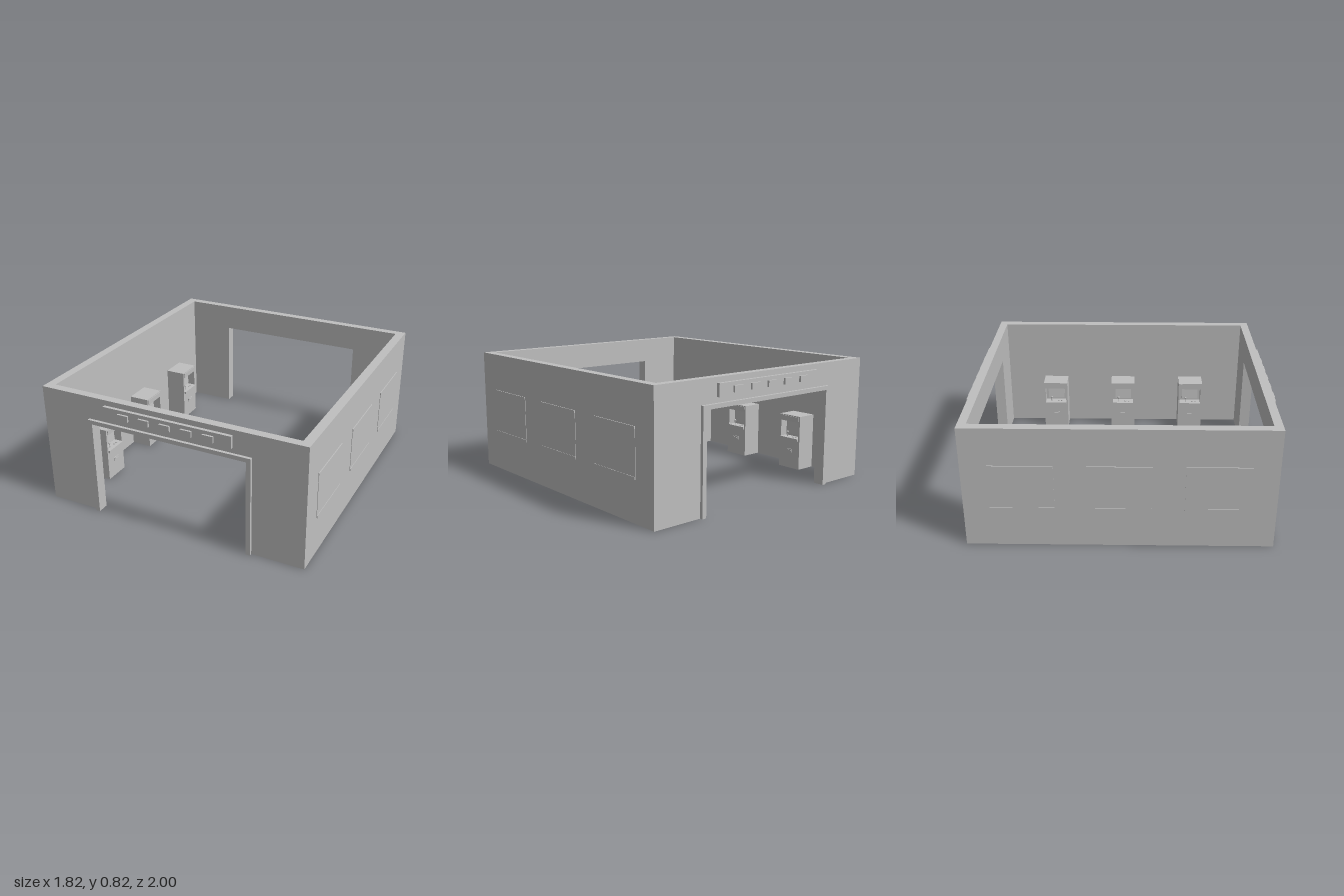
import * as THREE from 'three';

const plaster = new THREE.MeshStandardMaterial({ color: 0xbfbfbf });
plaster.name = 'plain grey';

// Box given by its minimum and maximum on each axis
function box(parent, name, x0, x1, y0, y1, z0, z1) {
  const mesh = new THREE.Mesh(new THREE.BoxGeometry(x1 - x0, y1 - y0, z1 - z0), plaster);
  mesh.name = name;
  mesh.position.set((x0 + x1) / 2, (y0 + y1) / 2, (z0 + z1) / 2);
  parent.add(mesh);
  return mesh;
}

// Upright arch outline (two legs and a lintel), extruded from z0 to z1
function arch(parent, name, outerX, outerY, innerX, innerY, z0, z1) {
  const shape = new THREE.Shape([
    [-outerX, 0], [-innerX, 0], [-innerX, innerY], [innerX, innerY],
    [innerX, 0], [outerX, 0], [outerX, outerY], [-outerX, outerY],
  ].map(([x, y]) => new THREE.Vector2(x, y)));
  const geometry = new THREE.ExtrudeGeometry(shape, { depth: z1 - z0, bevelEnabled: false });
  const mesh = new THREE.Mesh(geometry, plaster);
  mesh.name = name;
  mesh.position.z = z0;
  parent.add(mesh);
}

// End wall with doorway, door frame and sign, facing +z
function endWall() {
  const g = new THREE.Group();
  arch(g, 'endWall', 0.905, 0.822, 0.53, 0.643, 0.91, 0.965);
  arch(g, 'doorFrame', 0.56, 0.67, 0.53, 0.643, 0.965, 0.985);
  box(g, 'signBoard', -0.437, 0.437, 0.705, 0.787, 0.965, 0.987);
  for (let i = -2; i <= 2; i++) {
    const x = i * 0.145;
    box(g, 'signBlock', x - 0.036, x + 0.036, 0.724, 0.764, 0.987, 1);
  }
  return g;
}

// Side wall with three thin framed panels, facing +x
function sideWall() {
  const g = new THREE.Group();
  box(g, 'sideWall', 0.845, 0.905, 0, 0.822, -0.91, 0.91);
  for (const z of [-0.6, 0, 0.6]) {
    box(g, 'wallPanel', 0.905, 0.908, 0.272, 0.562, z - 0.2, z + 0.2);
    for (const y of [0.27, 0.563]) {
      box(g, 'panelRail', 0.905, 0.911, y - 0.008, y + 0.008, z - 0.2, z + 0.2);
    }
  }
  return g;
}

// Game cabinet: back at x = 0, front facing +x
function cabinet() {
  const g = new THREE.Group();
  g.name = 'cabinet';
  const w = 0.0925, d = 0.145, top = 0.385;
  box(g, 'cabinetBase', 0, d, 0, 0.21, -w, w);
  box(g, 'cabinetBack', 0, 0.085, 0.21, top, -w + 0.012, w - 0.012);
  for (const s of [-1, 1]) {
    const z = s * (w - 0.006);
    box(g, 'cabinetSide', 0, d, 0.21, top, z - 0.006, z + 0.006);
  }
  box(g, 'marquee', 0.085, d, 0.34, top, -w + 0.012, w - 0.012);
  box(g, 'marqueePlate', d, 0.15, 0.346, 0.379, -w + 0.014, w - 0.014);
  // Screen leaning back inside the recess
  const screen = box(g, 'screen', 0.085, 0.097, 0.24, 0.335, -0.062, 0.062);
  screen.rotation.z = 0.12;
  // Control shelf with stick and buttons
  box(g, 'controlShelf', 0.085, 0.155, 0.205, 0.222, -w + 0.012, w - 0.012);
  const stick = new THREE.Mesh(new THREE.CylinderGeometry(0.003, 0.003, 0.03, 8), plaster);
  stick.name = 'controlStick';
  stick.position.set(0.125, 0.236, 0.035);
  const knob = new THREE.Mesh(new THREE.SphereGeometry(0.008, 12, 8), plaster);
  knob.name = 'stickKnob';
  knob.position.set(0.125, 0.255, 0.035);
  g.add(stick, knob);
  for (const z of [-0.045, -0.02]) {
    const button = new THREE.Mesh(new THREE.CylinderGeometry(0.007, 0.007, 0.006, 12), plaster);
    button.name = 'button';
    button.position.set(0.125, 0.225, z);
    g.add(button);
  }
  // Coin plate
  box(g, 'coinPlate', d, 0.15, 0.115, 0.14, -0.028, 0.028);
  box(g, 'coinSlot', 0.15, 0.154, 0.124, 0.131, -0.018, 0.018);
  return g;
}

export function createModel() {
  const room = new THREE.Group();
  room.name = 'arcadeRoom';
  for (const turn of [0, Math.PI]) {
    const end = endWall();
    end.name = turn ? 'backEnd' : 'frontEnd';
    const side = sideWall();
    side.name = turn ? 'rightSide' : 'leftSide';
    end.rotation.y = side.rotation.y = turn;
    room.add(end, side);
    // Row of cabinets against the wall, facing inward
    for (const z of [-0.537, -0.003, 0.53]) {
      const c = cabinet();
      c.position.set(turn ? -0.845 : 0.845, 0, z);
      c.rotation.y = turn ? 0 : Math.PI;
      room.add(c);
    }
  }
  return room;
}
